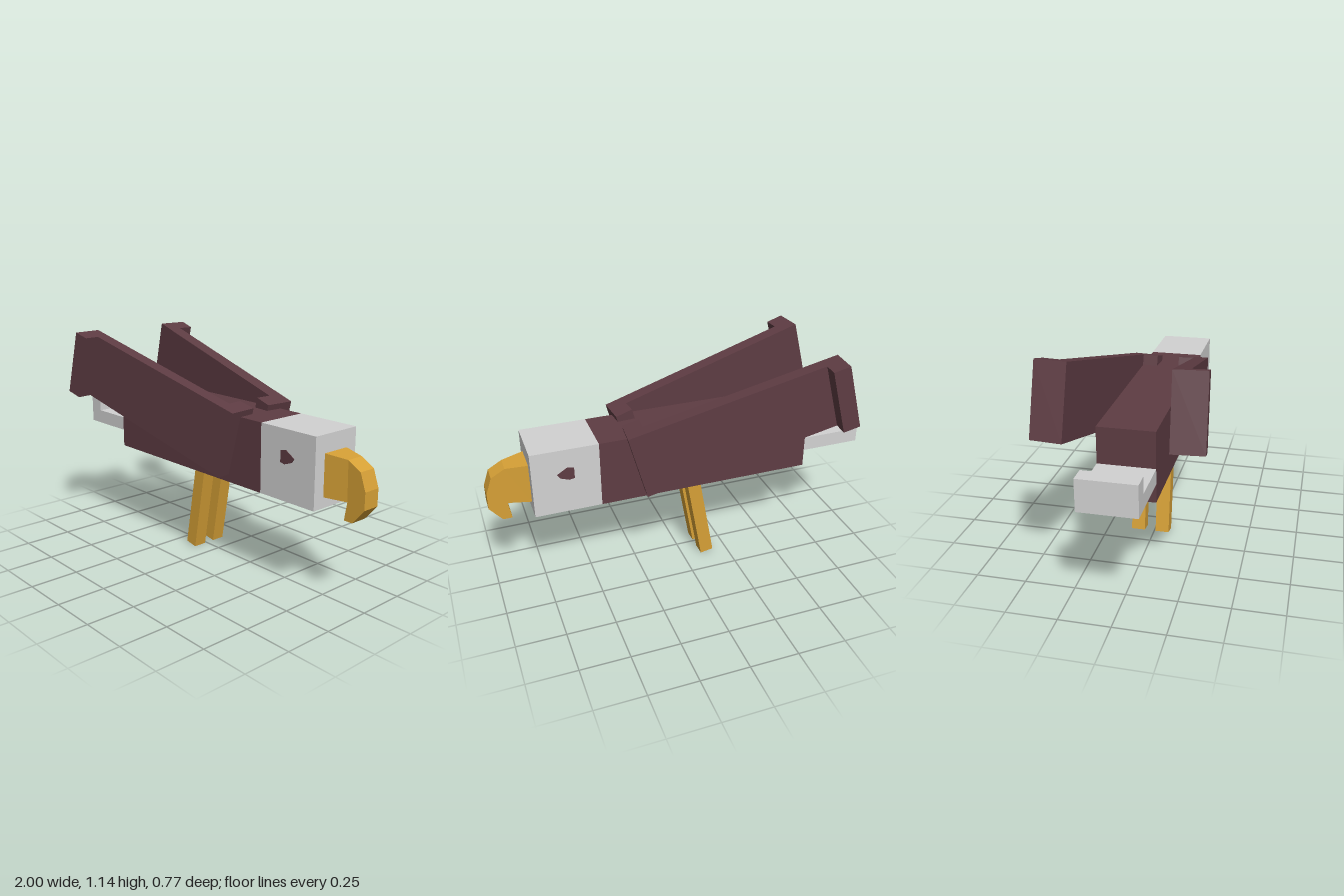
import * as THREE from 'three';

const DEG = Math.PI / 180;

function material(name, color) {
  const m = new THREE.MeshStandardMaterial({ color });
  m.name = name;
  return m;
}

function shapeOf(points) {
  return new THREE.Shape(points.map(([x, y]) => new THREE.Vector2(x, y)));
}

// Extrude a side profile symmetrically about z = 0
function slab(points, width) {
  const g = new THREE.ExtrudeGeometry(shapeOf(points), { depth: width, bevelEnabled: false });
  return g.translate(0, 0, -width / 2);
}

export function createModel() {
  const plumage = material('dark plumage', 0x5e3c43);
  const white = material('pale feathers', 0xd2d2d2);
  const yellow = material('beak yellow', 0xd6a036);

  const bird = new THREE.Group();
  bird.name = 'bird';
  bird.position.z = -0.005;

  function add(name, geometry, mat) {
    const mesh = new THREE.Mesh(geometry, mat);
    mesh.name = name;
    bird.add(mesh);
    return mesh;
  }

  // Body and head share one square section
  const width = 0.275;
  add('body', new THREE.BoxGeometry(1.13, 0.348, width), plumage).position.set(-0.115, 0.641, 0);
  add('head', new THREE.BoxGeometry(0.34, 0.348, width), white).position.set(0.62, 0.641, 0);

  // Tail with an upturned tip
  add('tail', slab([
    [-0.68, 0.56], [-0.68, 0.635], [-0.917, 0.635], [-0.917, 0.715], [-1, 0.715], [-1, 0.56],
  ], width), white);

  // Hooked beak, narrowing from the face to the hook
  const beak = slab([
    [0.79, 0.727], [0.9, 0.715], [0.97, 0.675], [1, 0.59], [1, 0.505],
    [0.937, 0.43], [0.89, 0.43], [0.905, 0.52], [0.79, 0.52],
  ], 2);
  const p = beak.attributes.position;
  for (let i = 0; i < p.count; i++) {
    const t = Math.min(1, (p.getX(i) - 0.79) / 0.1);
    p.setZ(i, p.getZ(i) * THREE.MathUtils.lerp(0.075, 0.046, t));
  }
  const flatBeak = beak.index ? beak.toNonIndexed() : beak;
  flatBeak.computeVertexNormals();
  add('beak', flatBeak, yellow);

  // Painted eyes, one thin plate on each side of the head
  const eyePoints = [[0.58, 0.71], [0.612, 0.717], [0.666, 0.684], [0.65, 0.663], [0.607, 0.647], [0.58, 0.652]];
  for (const side of [1, -1]) {
    const eye = add(side > 0 ? 'rightEye' : 'leftEye', slab(eyePoints, 0.004), plumage);
    eye.position.z = side * (width / 2 + 0.001);
  }

  // Legs sloping backwards
  for (const [name, z] of [['rightLeg', 0.052], ['leftLeg', -0.078]]) {
    const g = new THREE.BoxGeometry(0.07, 0.52, 0.071).translate(0, 0.26, 0);
    const leg = add(name, g, yellow);
    leg.position.set(-0.135, 0.006, z);
    leg.rotation.z = -10 * DEG;
  }

  // Wings: long plates with an inward block at the shoulder and an outward one at the tip
  const plan = [
    [0, 0], [-1.038, 0], [-1.038, 0.08], [-1.128, 0.08],
    [-1.128, -0.072], [-0.09, -0.072], [-0.09, -0.152], [0, -0.152],
  ];
  for (const side of [1, -1]) {
    const g = new THREE.ExtrudeGeometry(shapeOf(plan.map(([x, y]) => [x, y * side])), {
      depth: 0.351, bevelEnabled: false,
    });
    g.rotateX(Math.PI / 2);
    const wing = add(side > 0 ? 'rightWing' : 'leftWing', g, plumage);
    wing.position.set(0.322, 0.845, side * 0.202);
    wing.rotation.set(0, side * 5 * DEG, -15 * DEG, 'YZX');
  }

  const model = new THREE.Group();
  model.add(bird);
  return model;
}
